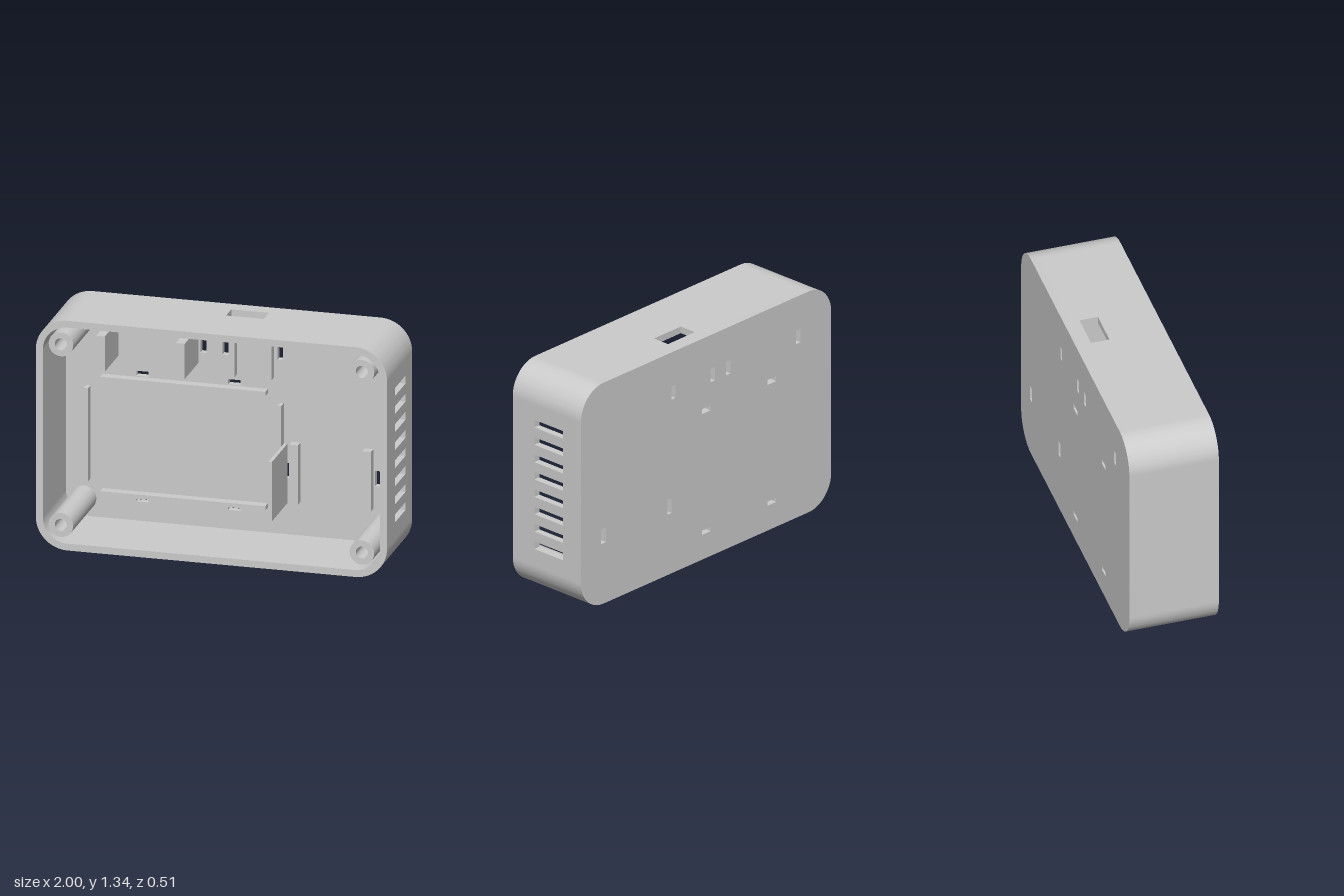
import * as THREE from 'three';
import { toCreasedNormals } from 'three/addons/utils/BufferGeometryUtils.js';

const H = 1.335, R = 0.18, T = 0.04;        // height, corner radius, wall thickness
const BACK = -0.257, FRONT = 0.257, FLOOR = BACK + T;
const material = new THREE.MeshStandardMaterial({ color: 0xcccccc });

// Rectangular outline from edge coordinates
function rect(x0, x1, y0, y1, Type = THREE.Shape) {
  const s = new Type();
  s.moveTo(x0, y0);
  s.lineTo(x1, y0);
  s.lineTo(x1, y1);
  s.lineTo(x0, y1);
  s.closePath();
  return s;
}

function extrude(shape, depth) {
  const g = new THREE.ExtrudeGeometry(shape, { depth, bevelEnabled: false, curveSegments: 16 });
  return toCreasedNormals(g, 0.6);
}

export function createModel() {
  const model = new THREE.Group();
  const add = (name, geometry, x = 0, y = 0, z = 0) => {
    const mesh = new THREE.Mesh(geometry, material);
    mesh.name = name;
    mesh.position.set(x, y, z);
    model.add(mesh);
    return mesh;
  };

  // Back panel with rounded corners and strap slots
  const back = new THREE.Shape();
  back.absarc(1 - R, R, R, -Math.PI / 2, 0);
  back.absarc(1 - R, H - R, R, 0, Math.PI / 2);
  back.absarc(-1 + R, H - R, R, Math.PI / 2, Math.PI);
  back.absarc(-1 + R, R, R, Math.PI, Math.PI * 1.5);
  back.closePath();
  const slots = [
    [-0.755, -0.72, 1.05, 1.13], [-0.195, -0.16, 1.05, 1.13],
    [-0.07, -0.035, 1.05, 1.13], [0.245, 0.275, 1.05, 1.13],
    [0.275, 0.31, 0.365, 0.455], [0.80, 0.84, 0.365, 0.455],
  ];
  for (const x of [-0.56, -0.037]) {
    slots.push([x, x + 0.07, 0.88, 0.91], [x, x + 0.07, 0.15, 0.175]);
  }
  for (const s of slots) back.holes.push(rect(...s, THREE.Path));
  add('backPanel', extrude(back, T), 0, 0, BACK);

  // Rounded wall corners
  const quarter = new THREE.Shape();
  quarter.absarc(0, 0, R, 0, Math.PI / 2);
  quarter.absarc(0, 0, R - T, Math.PI / 2, 0, true);
  quarter.closePath();
  const cornerGeometry = extrude(quarter, FRONT - FLOOR);
  [[1, 1], [-1, 1], [-1, -1], [1, -1]].forEach(([sx, sy], i) => {
    const corner = add('wallCorner', cornerGeometry, sx * (1 - R), H / 2 + sy * (H / 2 - R), FLOOR);
    corner.rotation.z = i * Math.PI / 2;
  });

  // Top and bottom walls, the top one with a port opening
  const bottom = rect(-1 + R, 1 - R, -FRONT, -FLOOR);
  const top = rect(-1 + R, 1 - R, -FRONT, -FLOOR);
  top.holes.push(rect(-0.005, 0.21, 0.062, 0.168, THREE.Path));
  add('bottomWall', extrude(bottom, T).rotateX(-Math.PI / 2));
  add('topWall', extrude(top, T).rotateX(-Math.PI / 2), 0, H - T);

  // Side walls, the left one with a column of vents
  const plainSide = rect(-FRONT, -FLOOR, R, H - R);
  const ventSide = rect(-FRONT, -FLOOR, R, H - R);
  for (let i = 0; i < 8; i++) {
    const y = 0.302 + i * 0.105;
    ventSide.holes.push(rect(-0.095, 0.12, y - 0.023, y + 0.023, THREE.Path));
  }
  add('rightWall', extrude(plainSide, T).rotateY(Math.PI / 2), -1);
  add('leftVentWall', extrude(ventSide, T).rotateY(Math.PI / 2), 1 - T);

  // Hollow screw posts
  const ring = new THREE.Shape();
  ring.absarc(0, 0, 0.07, 0, Math.PI * 2);
  const bore = new THREE.Path();
  bore.absarc(0, 0, 0.035, 0, Math.PI * 2);
  ring.holes.push(bore);
  const postGeometry = extrude(ring, FRONT - FLOOR);
  for (const x of [-0.857, 0.857]) {
    for (const y of [0.145, H - 0.14]) add('screwPost', postGeometry, x, y, FLOOR);
  }

  // Ribs standing on the back panel: name, x range, y range, front z
  const ribs = [
    ['tallSupport', -0.71, -0.66, 0.99, 1.195, 0.067],
    ['tallSupport', -0.255, -0.205, 0.99, 1.195, 0.067],
    ['portRib', -0.02, 0.015, 0.945, 1.27, -0.163],
    ['portRib', 0.195, 0.225, 0.945, 1.27, -0.163],
    ['boardRailTop', -0.75, 0.19, 0.85, 0.875, -0.163],
    ['boardRailBottom', -0.75, 0.19, 0.185, 0.21, -0.163],
    ['boardRailRight', -0.845, -0.82, 0.26, 0.80, -0.165],
    ['boardRailLeft', 0.26, 0.28, 0.26, 0.80, -0.165],
    ['dividerPlate', 0.28, 0.30, 0.22, 0.565, 0.10],
    ['lowSupport', 0.325, 0.375, 0.235, 0.58, -0.167],
    ['lowSupport', 0.74, 0.79, 0.235, 0.58, -0.167],
  ];
  for (const [name, x0, x1, y0, y1, z] of ribs) {
    const box = new THREE.BoxGeometry(x1 - x0, y1 - y0, z - FLOOR);
    add(name, box, (x0 + x1) / 2, (y0 + y1) / 2, (z + FLOOR) / 2);
  }

  return model;
}
